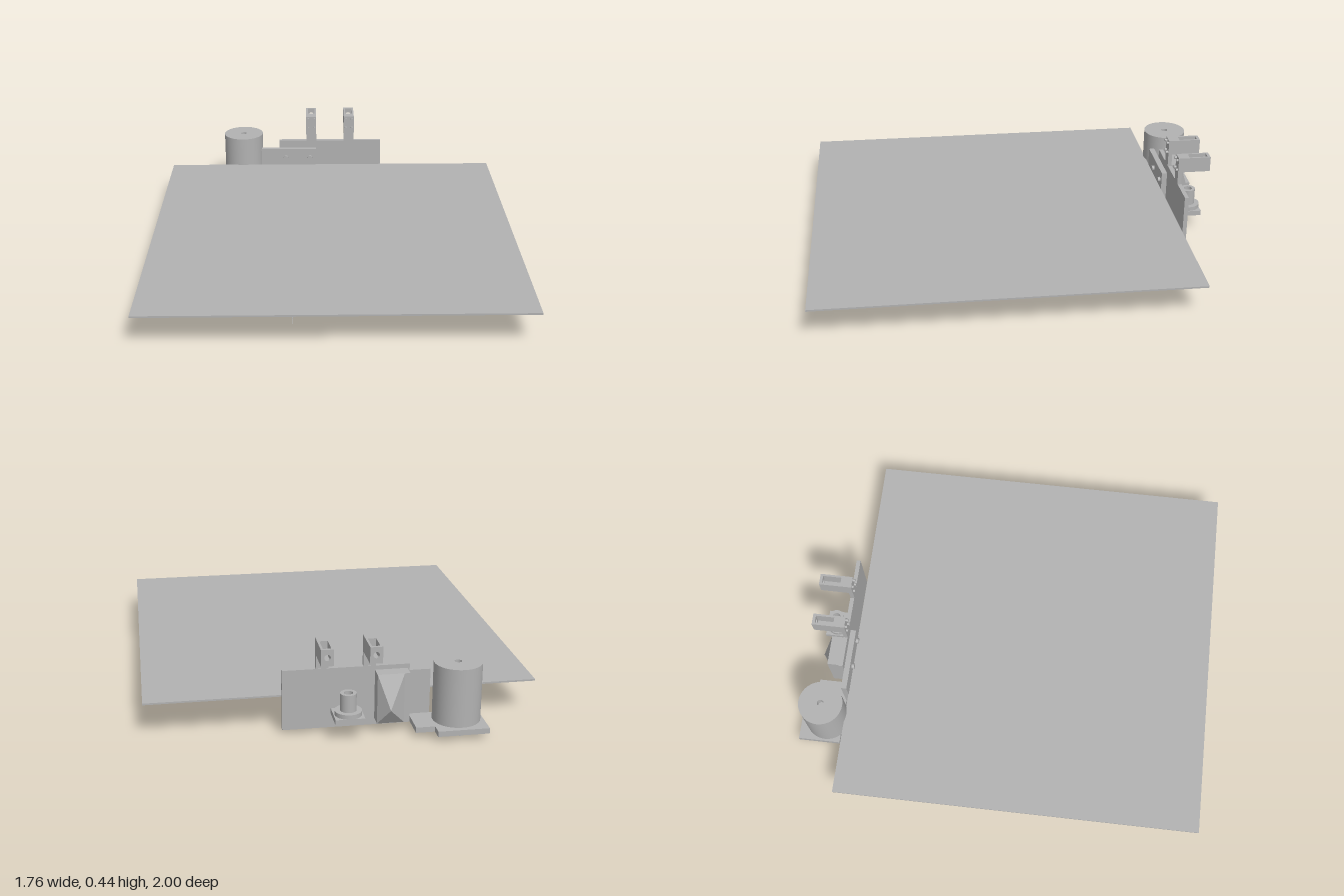
import * as THREE from 'three';

const grey = new THREE.MeshStandardMaterial({ color: 0xb2b2b2 });
grey.name = 'plain grey';

function add(parent, name, geometry) {
  const mesh = new THREE.Mesh(geometry, grey);
  mesh.name = name;
  parent.add(mesh);
  return mesh;
}

// Box given by its limits on each axis
function box(parent, name, x0, x1, y0, y1, z0, z1) {
  const mesh = add(parent, name, new THREE.BoxGeometry(x1 - x0, y1 - y0, z1 - z0));
  mesh.position.set((x0 + x1) / 2, (y0 + y1) / 2, (z0 + z1) / 2);
  return mesh;
}

// Four-sided pyramid; base corners run counter-clockwise seen from outside
function pyramid(parent, name, base, apex) {
  const tris = [base[0], base[1], base[2], base[0], base[2], base[3]];
  for (let i = 0; i < 4; i++) tris.push(base[(i + 1) % 4], base[i], apex);
  const g = new THREE.BufferGeometry();
  g.setAttribute('position', new THREE.Float32BufferAttribute(tris.flat(), 3));
  g.computeVertexNormals();
  return add(parent, name, g);
}

// Turned part with sharp edges: each profile segment is its own lathe
function turned(parent, name, profile, x, z) {
  const group = new THREE.Group();
  group.name = name;
  for (let i = 0; i < profile.length - 1; i++) {
    const pts = [profile[i], profile[i + 1]].map(p => new THREE.Vector2(...p));
    add(group, name + 'Surface', new THREE.LatheGeometry(pts, 40));
  }
  group.position.set(x, 0, z);
  parent.add(group);
}

function screw(parent, name, r, length, x, y, z, alongZ) {
  const mesh = add(parent, name, new THREE.CylinderGeometry(r, r, length, 16));
  if (alongZ) mesh.rotation.x = Math.PI / 2;
  mesh.position.set(x, y, z);
}

export function createModel() {
  const model = new THREE.Group();
  model.name = 'motorMountAssembly';

  // Large flat sheet and the long tapering spike beneath it
  box(model, 'sheet', -0.88, 0.88, 0.16, 0.168, -0.77, 1);
  pyramid(model, 'spike', [
    [-0.145, 0.097, -0.77], [-0.215, 0.097, -0.77],
    [-0.215, 0.165, -0.77], [-0.145, 0.165, -0.77],
  ], [-0.19, 0.097, 0.97]);

  // Motor with a small bore in its top
  turned(model, 'motor', [
    [0, 0.05], [0.107, 0.05], [0.107, 0.32], [0.016, 0.32], [0.016, 0.28], [0, 0.28],
  ], -0.488, -0.87);

  // Angle bracket: motor foot, its extension and the upright plate
  box(model, 'motorFoot', -0.605, -0.375, 0.025, 0.05, -1, -0.795);
  box(model, 'footExtension', -0.375, -0.29, 0.025, 0.05, -0.945, -0.79);
  box(model, 'bracketPlate', -0.385, -0.08, 0.025, 0.26, -0.795, -0.768);
  for (const [x, z] of [[-0.488, -0.94], [-0.55, -0.835], [-0.425, -0.835]])
    screw(model, 'motorScrew', 0.013, 0.026, x, 0.013, z, false);
  for (const x of [-0.25, -0.115])
    for (const y of [0.11, 0.21])
      screw(model, 'bracketScrew', 0.013, 0.014, x, y, -0.762, true);

  // Upright back plate
  box(model, 'backPlate', -0.285, 0.28, 0.02, 0.3, -0.817, -0.797);

  // Two tabs, each carrying a hollow arm with a slotted top and a holed end
  for (const x of [-0.107, 0.103]) {
    const tab = new THREE.Group();
    tab.name = 'tabArm';
    tab.position.x = x;
    model.add(tab);
    box(tab, 'tab', -0.028, 0.028, 0.3, 0.44, -0.815, -0.795);
    box(tab, 'armRoot', -0.028, 0.028, 0.365, 0.44, -0.85, -0.815);
    box(tab, 'armFloor', -0.018, 0.018, 0.365, 0.375, -0.94, -0.85);
    for (const s of [-1, 1])
      box(tab, 'armSide', s * 0.023 - 0.005, s * 0.023 + 0.005, 0.365, 0.44, -0.94, -0.85);
    const end = new THREE.Shape([[-0.028, 0.365], [0.028, 0.365], [0.028, 0.44], [-0.028, 0.44]]
      .map(p => new THREE.Vector2(...p)));
    end.holes.push(new THREE.Path().absarc(0, 0.403, 0.014, 0, Math.PI * 2, true));
    add(tab, 'armEnd', new THREE.ExtrudeGeometry(end, { depth: 0.014, bevelEnabled: false }))
      .position.z = -0.954;
    for (const sx of [-0.017, 0.017])
      for (const y of [0.375, 0.426])
        screw(tab, 'tabScrew', 0.007, 0.012, sx, y, -0.79, true);
  }

  // Small shelf with a stepped hollow boss
  box(model, 'shelf', -0.065, 0.065, 0.085, 0.11, -0.945, -0.817);
  turned(model, 'boss', [
    [0.06, 0.11], [0.06, 0.13], [0.036, 0.13], [0.036, 0.21],
    [0.02, 0.21], [0.02, 0.115], [0, 0.115],
  ], 0, -0.887);

  // Block behind the back plate with a pyramid on its rear face
  box(model, 'rearBlock', -0.275, -0.13, 0.05, 0.28, -0.877, -0.817);
  pyramid(model, 'rearPyramid', [
    [-0.25, 0.05, -0.877], [-0.13, 0.05, -0.877],
    [-0.13, 0.28, -0.877], [-0.25, 0.28, -0.877],
  ], [-0.18, 0.13, -0.93]);

  return model;
}
